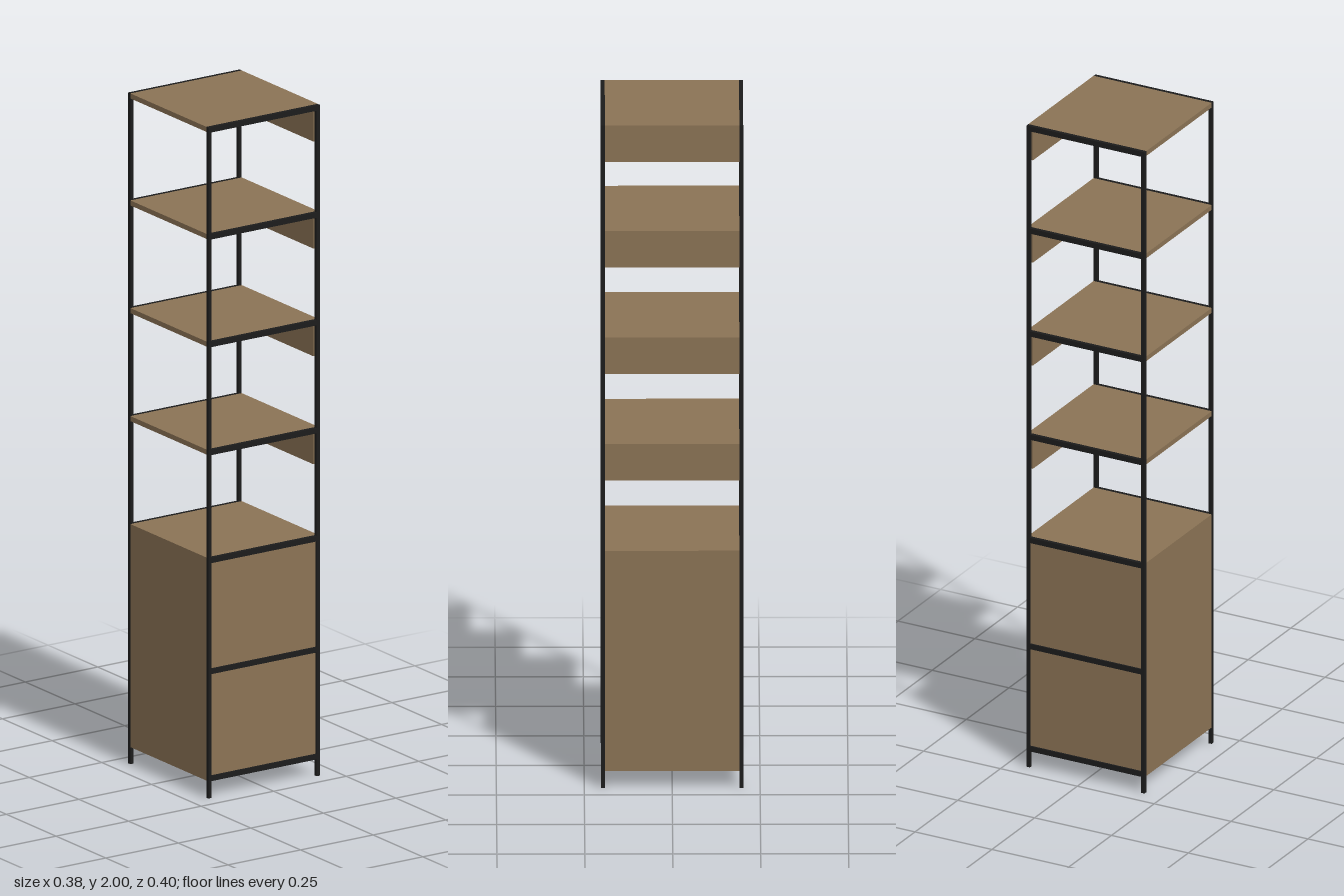
import * as THREE from 'three';

export function createModel() {
  const wood = new THREE.MeshStandardMaterial({ color: 0x8b7355 });
  wood.name = 'brown wood';
  const metal = new THREE.MeshStandardMaterial({ color: 0x1c1c1c });
  metal.name = 'black metal';

  const model = new THREE.Group();
  model.name = 'shelfTower';

  // Box given by its lower and upper corners
  const box = (name, material, [x0, y0, z0], [x1, y1, z1]) => {
    const mesh = new THREE.Mesh(new THREE.BoxGeometry(x1 - x0, y1 - y0, z1 - z0), material);
    mesh.position.set((x0 + x1) / 2, (y0 + y1) / 2, (z0 + z1) / 2);
    mesh.name = name;
    model.add(mesh);
  };

  const X = 0.192, Z = 0.202, bar = 0.011, rail = 0.016, board = 0.015;
  const inner = Z - bar;
  const tops = [0.066, 0.385, 0.716, 1.038, 1.36, 1.681, 2]; // top of each level
  const [cabinetBottom, , cabinetTop] = tops;

  // Metal frame: four posts, with front and back rails at every level
  for (const s of [-1, 1]) {
    const z0 = s > 0 ? inner : -Z, z1 = s > 0 ? Z : -inner;
    for (const x of [-X, X - bar]) box('post', metal, [x, 0, z0], [x + bar, 2, z1]);
    for (const y of tops) box('rail', metal, [-X + bar, y - rail, z0], [X - bar, y, z1]);
  }

  // Shelf boards between the rails
  for (const y of tops) box('shelf', wood, [-X, y - board, -inner], [X, y, inner]);

  // Hanging side lips under the open shelves
  for (const y of tops.slice(3)) {
    box('sideLip', wood, [X - board, y - 0.11, -inner], [X, y - board, inner]);
  }

  // Closed cabinet: side panels, then front and back panels in two tiers
  for (const x of [-X, X - board]) {
    box('cabinetSide', wood, [x, cabinetBottom - board, -inner], [x + board, cabinetTop - board, inner]);
  }
  for (let i = 0; i < 2; i++) {
    const y0 = tops[i], y1 = tops[i + 1] - rail;
    box('cabinetFront', wood, [-X + bar, y0, inner - 0.01], [X - bar, y1, Z - 0.005]);
    box('cabinetBack', wood, [-X + bar, y0, -Z + 0.005], [X - bar, y1, -inner + 0.01]);
  }
  return model;
}
